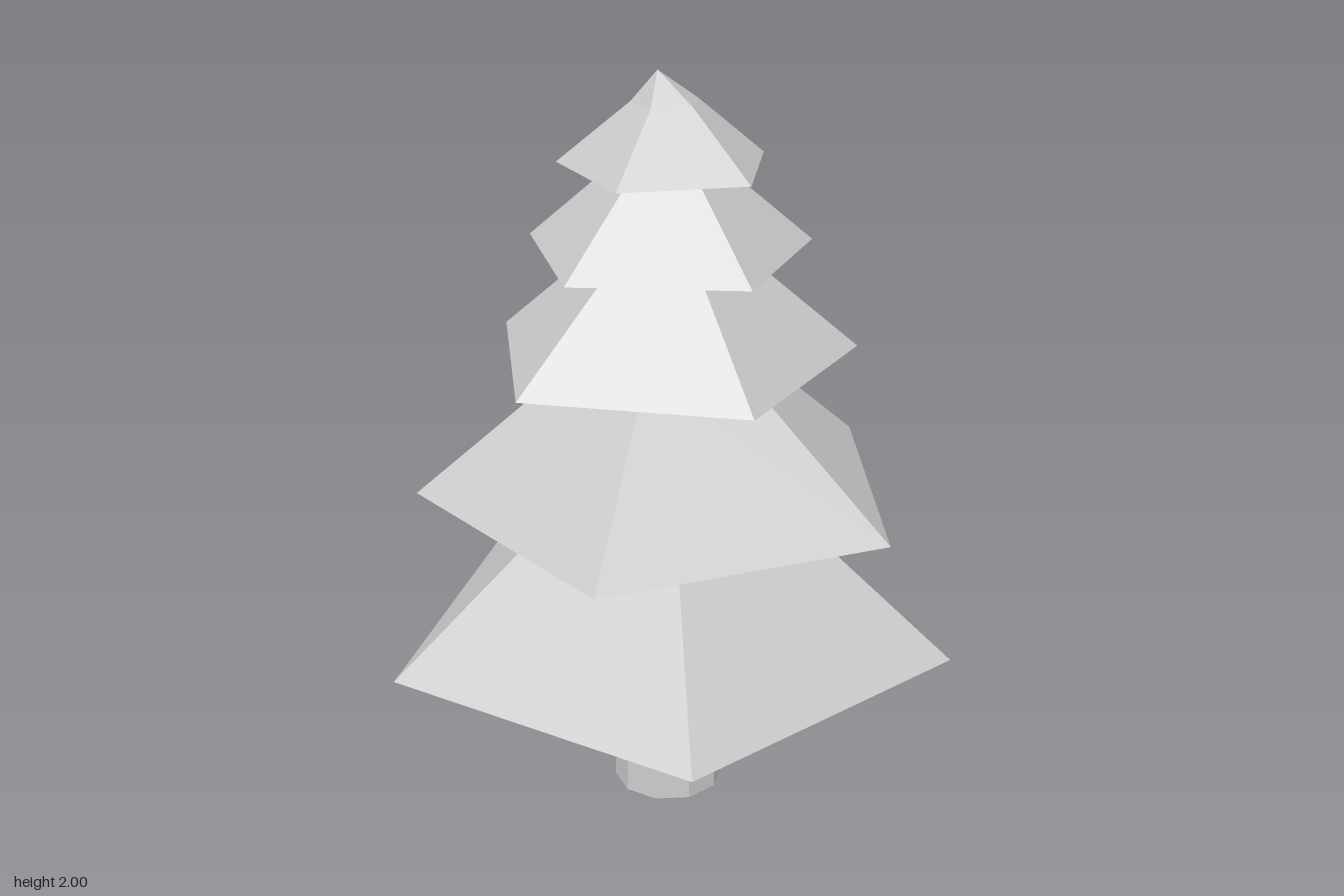
import * as THREE from 'three';

const material = new THREE.MeshStandardMaterial({ color: 0xcccccc, flatShading: true });
const CENTRE_Z = 0.065;
const TUCK = 0.02; // how far each part runs up inside the tier above

// Faceted solid turned around the trunk axis; profile runs from bottom to top.
function facetedSolid(name, profile, sides, turnDegrees) {
  const points = profile.map(([r, y]) => new THREE.Vector2(r, y));
  const geometry = new THREE.LatheGeometry(points, sides, THREE.MathUtils.degToRad(turnDegrees));
  const mesh = new THREE.Mesh(geometry, material);
  mesh.name = name;
  mesh.position.z = CENTRE_Z;
  return mesh;
}

export function createModel() {
  const tree = new THREE.Group();
  tree.name = 'pineTree';

  // Tapered ten-sided trunk
  tree.add(facetedSolid('trunk', [[0, 0], [0.15, 0], [0.13, 0.457 + TUCK], [0, 0.457 + TUCK]], 10, 18));

  // Four five-sided skirts of branches, each turned a little differently
  const tiers = [
    { bottom: 0.457, top: 0.88, wide: 0.773, narrow: 0.289, turn: 36 },
    { bottom: 0.88, top: 1.26, wide: 0.665, narrow: 0.22, turn: 16.6 },
    { bottom: 1.26, top: 1.54, wide: 0.5, narrow: 0.18, turn: -15.7 },
    { bottom: 1.54, top: 1.76, wide: 0.385, narrow: 0.135, turn: -8.2 },
  ];
  tiers.forEach(({ bottom, top, wide, narrow, turn }, i) => {
    const inner = narrow - (TUCK * (wide - narrow)) / (top - bottom);
    const profile = [[0, bottom], [wide, bottom], [inner, top + TUCK], [0, top + TUCK]];
    tree.add(facetedSolid(`branchTier${i + 1}`, profile, 5, turn));
  });

  // Treetop with its point bent slightly off centre
  const treetop = facetedSolid('treetop', [[0, 1.76], [0.281, 1.76], [0.09, 1.92], [0, 2]], 5, 6.1);
  const position = treetop.geometry.attributes.position;
  for (let i = 0; i < position.count; i++) {
    if (position.getY(i) > 1.99) position.setXYZ(i, -0.02, 2, 0.01);
  }
  tree.add(treetop);

  return tree;
}
